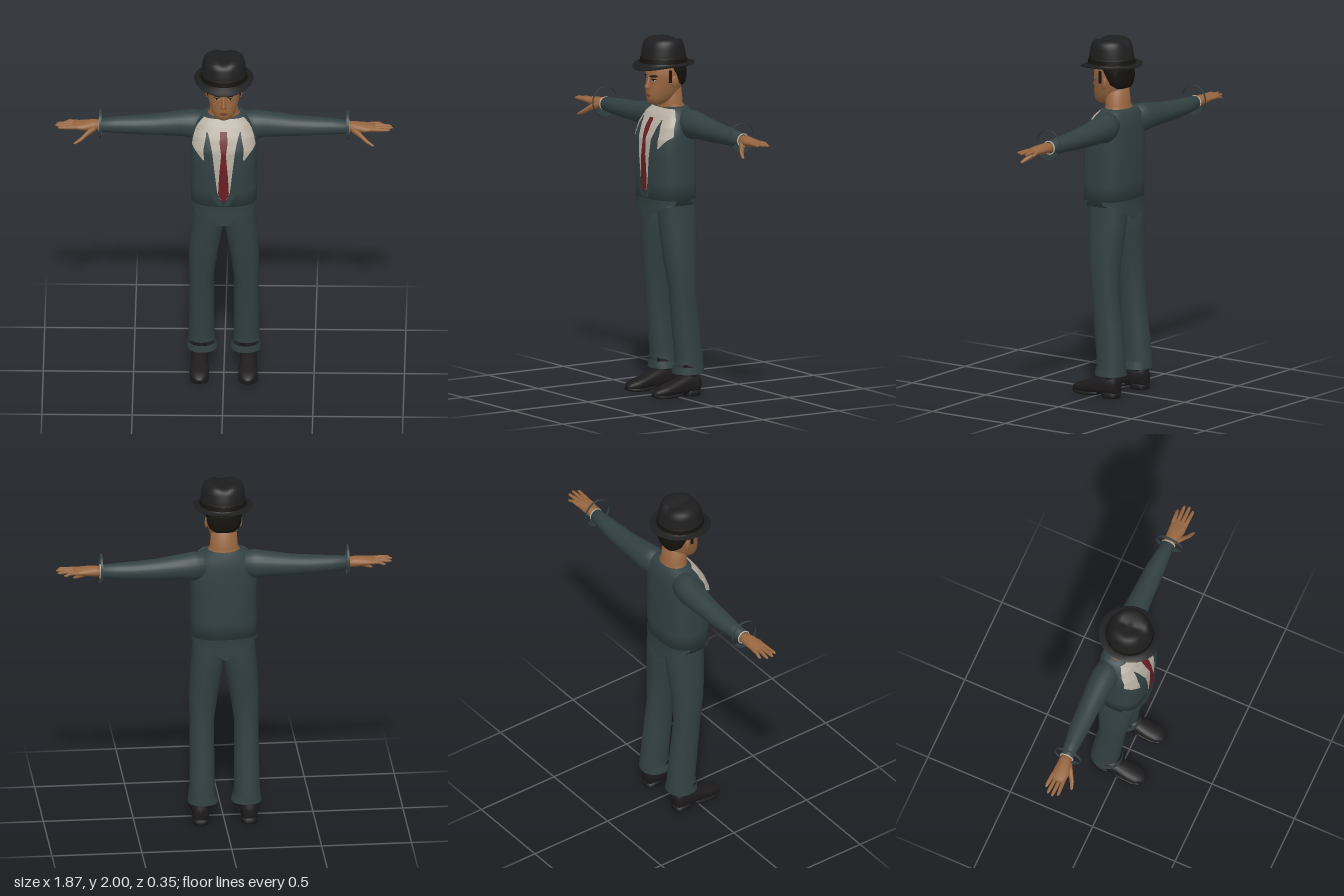
import * as THREE from 'three';

const mat = (name, color, side = THREE.FrontSide) => {
  const m = new THREE.MeshStandardMaterial({ color, side });
  m.name = name;
  return m;
};

// Point on a superellipse: n = 2 is an ellipse, larger is boxier
const ringPoint = (a, n) => [Math.cos(a), Math.sin(a)].map(c => Math.sign(c) * Math.abs(c) ** (2 / n));

// Skin over sections [t, centreU, centreV, radiusU, radiusV] along one axis.
// (u, v) is (y, z) for axis x, (z, x) for axis y and (x, y) for axis z.
function loft(axis, sections, { n = 2, seg = 24, cap = true, bend } = {}) {
  const k = 'xyz'.indexOf(axis), pos = [], idx = [], p = [0, 0, 0];
  const add = (t, u, v) => {
    p[k] = t; p[(k + 1) % 3] = u; p[(k + 2) % 3] = v;
    const q = bend ? bend(...p) : p;
    pos.push(q[0], q[1], q[2]);
  };
  for (const [t, cu, cv, ru, rv] of sections)
    for (let j = 0; j < seg; j++) {
      const [c, s] = ringPoint(j / seg * Math.PI * 2, n);
      add(t, cu + ru * c, cv + rv * s);
    }
  const last = sections.length - 1;
  for (let i = 0; i < last; i++)
    for (let j = 0; j < seg; j++) {
      const a = i * seg + j, b = i * seg + (j + 1) % seg;
      idx.push(a, b, b + seg, a, b + seg, a + seg);
    }
  if (cap) {
    const e = pos.length / 3;
    for (const i of [0, last]) add(sections[i][0], sections[i][1], sections[i][2]);
    for (let j = 0; j < seg; j++) {
      const j2 = (j + 1) % seg;
      idx.push(e, j2, j, e + 1, last * seg + j, last * seg + j2);
    }
  }
  return build(pos, idx);
}

function build(pos, idx) {
  const g = new THREE.BufferGeometry();
  g.setAttribute('position', new THREE.Float32BufferAttribute(pos, 3));
  g.setIndex(idx);
  g.computeVertexNormals();
  return g;
}

// Linear lookup in rows sorted by their first value
function at(rows, t) {
  let i = 0;
  while (i < rows.length - 2 && t > rows[i + 1][0]) i++;
  const f = THREE.MathUtils.clamp((t - rows[i][0]) / (rows[i + 1][0] - rows[i][0]), 0, 1);
  return rows[i].map((v, k) => THREE.MathUtils.lerp(v, rows[i + 1][k], f));
}

// Thin patch lying on the front (dir 1) or back (dir -1) of a y loft; rows are [y, x0, x1]
function patch(body, n, rows, off, dir = 1) {
  const pos = [], idx = [], H = 24, W = 12, y0 = rows[0][0], y1 = rows[rows.length - 1][0];
  for (let i = 0; i <= H; i++) {
    const y = y0 + (y1 - y0) * i / H, [, a, b] = at(rows, y), [, cz, , rz, rx] = at(body, y);
    for (let j = 0; j <= W; j++) {
      const x = a + (b - a) * j / W, r = Math.min(1, Math.abs(x) / (rx + off));
      pos.push(x, y, cz + dir * (rz + off) * (1 - r ** n) ** (1 / n));
      if (i < H && j < W) {
        const q = i * (W + 1) + j, u = q + W + 1;
        idx.push(q, q + 1, u + 1, q, u + 1, u);
      }
    }
  }
  return build(pos, dir > 0 ? idx : idx.reverse());
}

function mirrored(geo) {
  const g = geo.clone().scale(-1, 1, 1);
  g.setIndex(Array.from(geo.index.array).reverse());
  g.computeVertexNormals();
  return g;
}

export function createModel() {
  const model = new THREE.Group();
  model.name = 'manInSuit';
  const suit = mat('suit cloth', 0x324042, THREE.DoubleSide);
  const felt = mat('hat felt', 0x1e1e1f);
  const skin = mat('skin', 0x96653f);
  const shirt = mat('shirt cream', 0xb6aea1, THREE.DoubleSide);
  const red = mat('tie red', 0x6a1f24);
  const hair = mat('hair', 0x15130f);
  const leather = mat('shoe leather', 0x1c1a1b);
  const lip = mat('lips', 0x734530);
  const add = (name, geo, m) => {
    const mesh = new THREE.Mesh(geo, m);
    mesh.name = name;
    model.add(mesh);
  };
  const pair = (name, geo, m) => {
    add(name + 'Left', geo, m);
    add(name + 'Right', mirrored(geo), m);
  };

  // Jacket body
  const torso = [
    [1.08, -.017, 0, .132, .183], [1.2, -.017, 0, .138, .184], [1.35, -.015, 0, .14, .182],
    [1.45, -.017, 0, .136, .186], [1.52, -.028, 0, .12, .178], [1.58, -.043, 0, .098, .15],
    [1.62, -.055, 0, .066, .112]];
  add('jacketBody', loft('y', torso, { n: 2.7, seg: 48 }), suit);
  pair('jacketFrontTail', patch(torso, 2.7, [[.99, 0, .036], [1.02, 0, .05], [1.05, 0, .11], [1.085, 0, .18], [1.11, 0, .183]], .004), suit);
  pair('jacketBackTail', patch(torso, 2.7, [[.985, 0, .003], [1.04, 0, .08], [1.09, 0, .18], [1.11, 0, .183]], .003, -1), suit);

  // Shirt, lapels and tie lie on the chest
  pair('shirtFront', patch(torso, 2.7, [[1.155, 0, .018], [1.2, 0, .035], [1.3, 0, .046], [1.45, 0, .063], [1.52, 0, .078], [1.556, 0, .09]], .004), shirt);
  pair('shirtSide', patch(torso, 2.7, [[1.4, .108, .115], [1.44, .11, .15], [1.47, .11, .177], [1.52, .1, .168], [1.556, .09, .155]], .004), shirt);
  pair('shirtYoke', patch(torso, 2.7, [[1.556, 0, .155], [1.58, 0, .142], [1.612, 0, .11]], .004), shirt);
  pair('lapel', patch(torso, 2.7, [[1.12, 0, .03], [1.155, .018, .05], [1.2, .035, .07], [1.3, .046, .097], [1.45, .063, .11], [1.556, .09, .095]], .008), suit);
  pair('tie', patch(torso, 2.7, [[1.15, 0, .012], [1.19, 0, .03], [1.3, 0, .025], [1.44, 0, .013], [1.5, 0, .022], [1.56, 0, .019]], .009), red);

  // Sleeves with loose open cuffs
  pair('sleeve', loft('x', [
    [.09, 1.535, -.07, .075, .06], [.17, 1.53, -.073, .082, .075], [.24, 1.53, -.078, .072, .07],
    [.38, 1.52, -.08, .06, .06], [.5, 1.518, -.08, .052, .055], [.6, 1.517, -.077, .046, .045],
    [.69, 1.517, -.073, .038, .035]]), suit);
  pair('cuffBand', loft('x', [[.679, 1.532, -.066, .083, .079], [.692, 1.532, -.066, .083, .079]], { seg: 32, cap: false }), suit);
  const flap = new THREE.RingGeometry(.048, .082, 16, 1, Math.PI * 1.2, Math.PI * .6);
  pair('cuffFlap', flap.rotateY(Math.PI / 2).translate(.686, 1.532, -.066), suit);
  pair('shirtCuff', new THREE.TorusGeometry(.036, .004, 8, 24).rotateY(Math.PI / 2).translate(.69, 1.518, -.072), shirt);

  // Hands
  pair('palm', loft('x', [
    [.68, 1.518, -.073, .027, .03], [.72, 1.52, -.07, .03, .036], [.78, 1.52, -.063, .024, .046],
    [.83, 1.522, -.065, .014, .045], [.84, 1.522, -.065, .008, .04]]), skin);
  [[-.1, -.107, .895, 1.512], [-.077, -.082, .928, 1.52], [-.053, -.053, .935, 1.524], [-.031, -.025, .92, 1.524]].forEach(([z0, z1, tip, y], i) =>
    pair('finger' + (i + 1), loft('x', [
      [.81, 1.522, z0, .011, .012], [(.82 + tip) / 2, 1.523, (z0 + z1) / 2, .01, .011],
      [tip - .012, y, z1, .008, .009], [tip, y, z1, .003, .004]], { seg: 10 }), skin));
  pair('thumb', loft('x', [
    [.71, 1.512, -.05, .018, .02], [.75, 1.495, -.025, .018, .018], [.79, 1.467, .003, .013, .013],
    [.822, 1.45, .016, .008, .009], [.832, 1.447, .018, .003, .004]], { seg: 12 }), skin);

  // Trousers: hems are cut higher at the front, above a flared turn-up
  pair('trouserLeg', loft('y', [
    [.14, -.088, .125, .083, .076], [.22, -.085, .125, .08, .071], [.4, -.065, .124, .08, .069],
    [.6, -.045, .124, .077, .068], [.75, -.036, .114, .092, .081], [.9, -.035, .097, .105, .089],
    [1, -.035, .087, .111, .09], [1.1, -.03, .085, .11, .088]],
    { cap: false, n: 2.2, bend: (x, y, z) => [x, y < .15 && z > -.11 ? y + Math.min(.042, (z + .11) * .6) : y, z] }), suit);
  pair('turnUp', loft('y', [[.125, -.083, .121, .088, .085], [.165, -.083, .123, .085, .078]], { cap: false, n: 2.2 }), suit);

  // Shoes
  pair('ankle', loft('y', [[.07, -.095, .135, .042, .036], [.13, -.095, .135, .042, .038], [.26, -.09, .13, .035, .033]]), leather);
  pair('shoeUpper', loft('z', [
    [-.143, .135, .06, .03, .045], [-.13, .135, .066, .044, .058], [-.06, .135, .065, .046, .057],
    [0, .135, .055, .048, .045], [.06, .135, .045, .054, .035], [.11, .135, .037, .051, .028],
    [.142, .135, .031, .036, .02], [.155, .135, .027, .016, .009]], { n: 2.4 }), leather);
  pair('sole', loft('z', [
    [-.02, .135, .018, .044, .01], [.03, .135, .011, .052, .011], [.09, .135, .011, .055, .011],
    [.13, .135, .013, .045, .011], [.155, .135, .018, .02, .008]], { n: 4 }), leather);
  pair('heel', loft('y', [[0, -.095, .135, .049, .043], [.03, -.095, .135, .05, .045]], { n: 3 }), leather);

  // Neck and head
  add('neck', loft('y', [
    [1.57, -.055, 0, .08, .12], [1.605, -.052, 0, .073, .1], [1.635, -.045, 0, .067, .078], [1.74, -.035, 0, .067, .07]]), skin);
  const head = [
    [1.632, .045, 0, .03, .028], [1.645, .04, 0, .055, .048], [1.67, .015, 0, .087, .066], [1.7, .005, 0, .097, .077],
    [1.74, -.003, 0, .1, .087], [1.77, -.007, 0, .1, .091], [1.79, -.006, 0, .105, .093], [1.87, -.01, 0, .1, .094]];
  add('head', loft('y', head, { n: 2.2, seg: 36 }), skin);
  add('nose', loft('y', [
    [1.718, .094, 0, .008, .008], [1.724, .1, 0, .02, .018], [1.736, .1, 0, .023, .014],
    [1.765, .095, 0, .014, .009], [1.79, .092, 0, .008, .008]], { seg: 14 }), skin);
  pair('ear', new THREE.SphereGeometry(1, 14, 10).scale(.01, .034, .02).rotateY(-.25).translate(.094, 1.765, -.015), skin);
  const face = (name, rows, off, m) => pair(name, patch(head, 2.2, rows, off), m);
  face('eyeWhite', [[1.768, .03, .042], [1.774, .02, .056], [1.78, .028, .048]], .003, shirt);
  face('iris', [[1.769, .034, .042], [1.78, .032, .044]], .005, hair);
  face('lashLine', [[1.778, .02, .058], [1.783, .026, .05]], .004, hair);
  face('eyebrow', [[1.791, .016, .05], [1.798, .018, .066], [1.804, .045, .06]], .004, hair);
  face('lips', [[1.678, 0, .012], [1.687, 0, .028], [1.695, 0, .01]], .004, lip);

  // Hair round the back and sides
  add('hair', loft('y', [
    [1.735, -.075, 0, .034, .06], [1.755, -.068, 0, .047, .084], [1.79, -.061, 0, .057, .097], [1.825, -.048, 0, .07, .1],
    [1.87, -.03, 0, .09, .102]], { n: 2.6 }), hair);
  pair('sideburn', new THREE.BoxGeometry(.008, .07, .018).translate(.09, 1.795, .013), hair);

  // Hat: brim and crown in one skin, brim dipped at the front, crown creased along the top
  add('hat', loft('y', [
    [1.852, 0, 0, .1, .1], [1.852, 0, 0, .13, .13], [1.858, 0, 0, .173, .163], [1.864, 0, 0, .175, .165],
    [1.864, 0, 0, .15, .145], [1.87, 0, 0, .13, .127], [1.905, 0, 0, .125, .124], [1.955, 0, 0, .115, .119],
    [1.985, 0, 0, .104, .11], [2.002, 0, 0, .085, .09], [2.006, 0, 0, .06, .062], [2.006, 0, 0, .03, .03]], {
    seg: 48,
    bend: (x, y, z) => [x,
      y < 1.868 ? y - (z > 0 ? .026 * (z / .175) ** 2 : 0)
        : y > 1.98 ? Math.min(2, y) - .016 * Math.exp(-((x / .035) ** 2)) : y,
      z],
  }), felt);
  add('hatBand', loft('y', [[1.868, 0, 0, .133, .13], [1.895, 0, 0, .129, .128]], { seg: 48, cap: false }), hair);
  return model;
}
